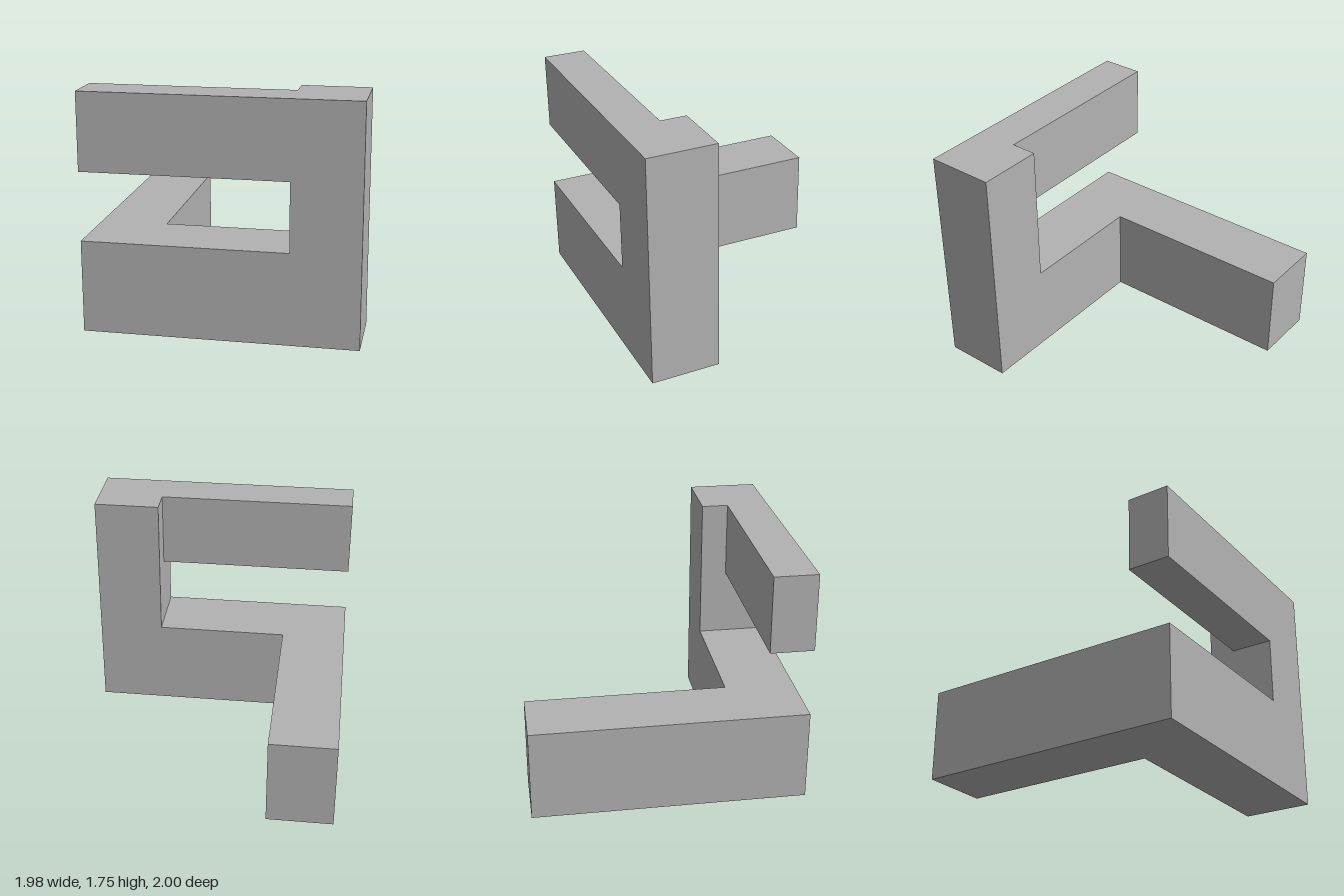
import * as THREE from 'three';

export function createModel() {
  const model = new THREE.Group();
  model.name = 'angularBlockSculpture';
  const grey = new THREE.MeshStandardMaterial({ color: 0xb2b2b2 });
  grey.name = 'plain grey';

  const baseTop = 0.675, top = 1.745;

  function add(name, geometry) {
    const mesh = new THREE.Mesh(geometry, grey);
    mesh.name = name;
    model.add(mesh);
  }

  // Box given by its lowest and highest corners
  function addBlock(name, [x0, y0, z0], [x1, y1, z1]) {
    const geometry = new THREE.BoxGeometry(x1 - x0, y1 - y0, z1 - z0);
    geometry.translate((x0 + x1) / 2, (y0 + y1) / 2, (z0 + z1) / 2);
    add(name, geometry);
  }

  // L-shaped base: plan drawn as (x, -z), then laid flat
  const plan = [[-0.99, -1], [0.99, -1], [0.99, -0.485], [-0.497, -0.485], [-0.497, 1], [-0.99, 1]];
  const base = new THREE.ExtrudeGeometry(
    new THREE.Shape(plan.map(([x, y]) => new THREE.Vector2(x, y))),
    { depth: baseTop, bevelEnabled: false }
  );
  base.rotateX(-Math.PI / 2);
  add('lShapedBase', base);

  // Post at the front left corner
  addBlock('cornerPost', [0.493, baseTop, 0.485], [0.99, top, 1]);

  // Thinner bar reaching from the post, flush with the front
  addBlock('upperBar', [-0.99, 1.178, 0.683], [0.493, top, 1]);

  return model;
}
